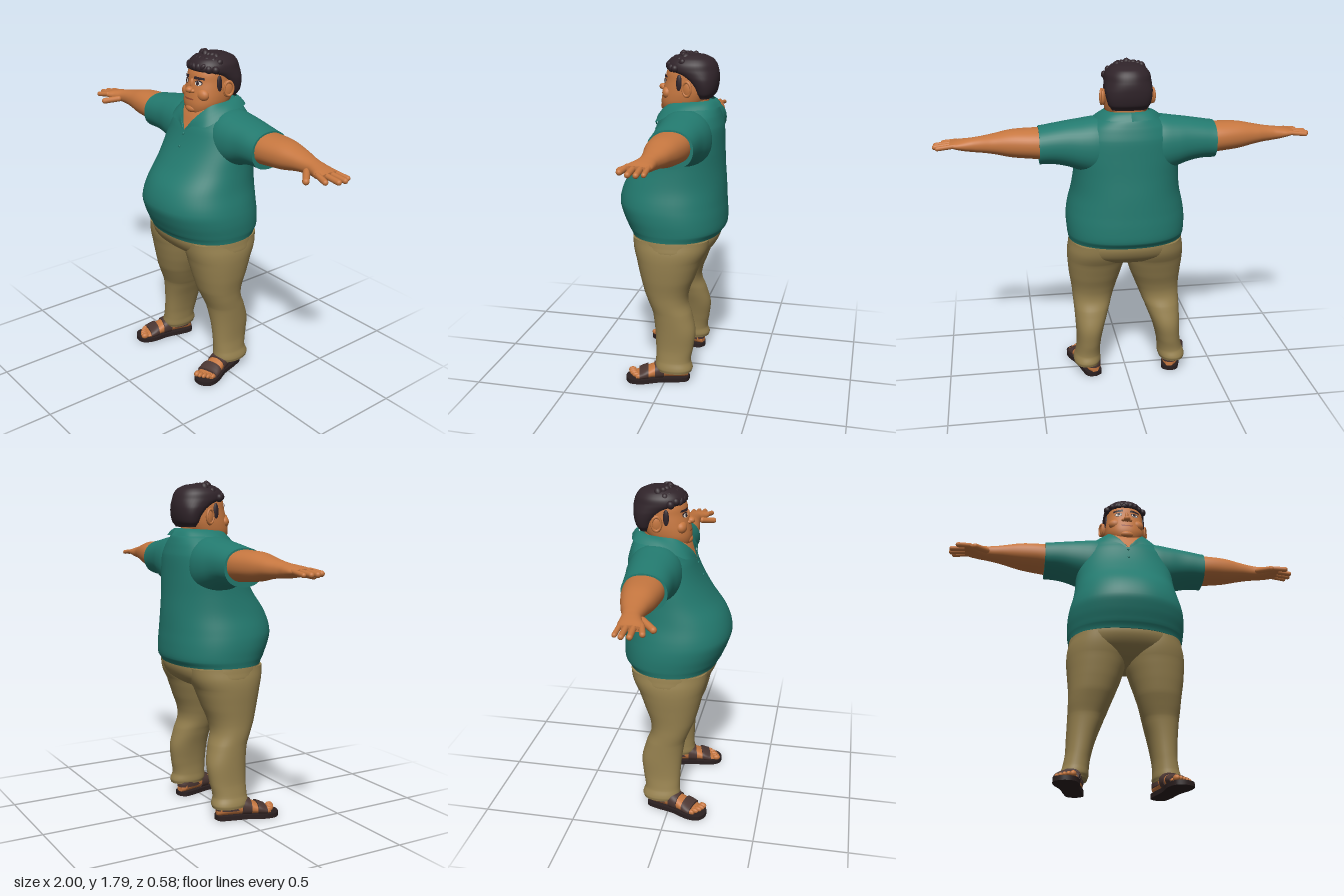
import * as THREE from 'three';

const mat = (name, color) => {
  const m = new THREE.MeshStandardMaterial({ color });
  m.name = name;
  return m;
};

// Rings are [t, a0, a1, b0, b1]: position along the axis and the extent on the two other axes.
function dense(rings, sub = 5) {
  const out = [], last = rings.length - 1;
  const at = i => rings[Math.max(0, Math.min(last, i))];
  for (let i = 0; i < last; i++) {
    for (let k = 0; k < sub; k++) {
      const u = k / sub;
      out.push(at(i).map((p1, c) => {
        const p0 = at(i - 1)[c], p2 = at(i + 1)[c], p3 = at(i + 2)[c];
        if (c === 0) return p1 + (p2 - p1) * u;
        return 0.5 * (2 * p1 + (p2 - p0) * u + (2 * p0 - 5 * p1 + 4 * p2 - p3) * u * u + (3 * p1 - p0 - 3 * p2 + p3) * u ** 3);
      }));
    }
  }
  out.push(rings[last]);
  return out;
}

// Smooth skin through super-elliptical rings, with flat caps.
function loft(rings, axis = 'y', n = 2.2, seg = 40) {
  const R = dense(rings), pos = [], idx = [];
  const place = (t, a, b) => pos.push(...(axis === 'y' ? [a, t, b] : axis === 'x' ? [t, a, b] : [a, b, t]));
  const pw = v => Math.sign(v) * Math.abs(v) ** (2 / n);
  const ring = r => {
    for (let j = 0; j < seg; j++) {
      const q = j / seg * Math.PI * 2;
      place(r[0], (r[1] + r[2]) / 2 + Math.abs(r[2] - r[1]) / 2 * pw(Math.cos(q)),
        (r[3] + r[4]) / 2 + Math.abs(r[4] - r[3]) / 2 * pw(Math.sin(q)));
    }
  };
  const flip = (axis === 'y') !== (R[R.length - 1][0] > R[0][0]);
  const tri = (a, b, c) => flip ? idx.push(a, c, b) : idx.push(a, b, c);
  R.forEach(ring);
  for (let i = 0; i < R.length - 1; i++) for (let j = 0; j < seg; j++) {
    const a = i * seg + j, b = i * seg + (j + 1) % seg;
    tri(a, a + seg, b);
    tri(b, a + seg, b + seg);
  }
  [R[0], R[R.length - 1]].forEach((r, end) => {
    const s = pos.length / 3;
    ring(r);
    place(r[0], (r[1] + r[2]) / 2, (r[3] + r[4]) / 2);
    for (let j = 0; j < seg; j++) {
      const k = s + (j + 1) % seg;
      end ? tri(s + j, s + seg, k) : tri(s + j, k, s + seg);
    }
  });
  const g = new THREE.BufferGeometry();
  g.setAttribute('position', new THREE.Float32BufferAttribute(pos, 3));
  g.setIndex(idx);
  g.computeVertexNormals();
  return g;
}

// Front z of a vertical loft at (x, y), used to lay thin details on it.
function frontZ(R, x, y, n) {
  let i = 0;
  while (i < R.length - 2 && R[i + 1][0] < y) i++;
  const u = (y - R[i][0]) / (R[i + 1][0] - R[i][0]);
  const r = R[i].map((v, c) => v + (R[i + 1][c] - v) * u);
  return (r[3] + r[4]) / 2 + (r[4] - r[3]) / 2 * Math.max(0, 1 - Math.abs(x / r[2]) ** n) ** (1 / n);
}
function drape(g, rings, n, off) {
  const R = dense(rings), p = g.attributes.position;
  for (let i = 0; i < p.count; i++) p.setZ(i, frontZ(R, p.getX(i), p.getY(i), n) + off);
  g.computeVertexNormals();
  return g;
}
// Four-cornered sheet: bottom left, bottom right, top right, top left.
function quad(A, B, C, D) {
  const g = new THREE.PlaneGeometry(1, 1, 10, 10), p = g.attributes.position;
  for (let i = 0; i < p.count; i++) {
    const u = p.getX(i) + 0.5, v = p.getY(i) + 0.5;
    const m = k => (A[k] * (1 - u) + B[k] * u) * (1 - v) + (D[k] * (1 - u) + C[k] * u) * v;
    p.setXY(i, m(0), m(1));
  }
  return g;
}

const TORSO = [[.825, -.312, .312, -.262, .225], [.86, -.318, .318, -.285, .245], [.93, -.322, .322, -.287, .275],
  [1, -.315, .315, -.283, .292], [1.1, -.292, .292, -.278, .262], [1.2, -.28, .28, -.27, .19], [1.3, -.275, .275, -.265, .13],
  [1.4, -.255, .255, -.26, .09], [1.46, -.215, .215, -.245, .065], [1.5, -.16, .16, -.23, .045], [1.53, -.11, .11, -.205, .02]];
const HEAD = [[1.468, -.05, .05, -.07, .04], [1.483, -.085, .085, -.11, .062], [1.52, -.108, .108, -.16, .07],
  [1.56, -.115, .115, -.185, .066], [1.6, -.115, .115, -.2, .058], [1.64, -.112, .112, -.205, .048],
  [1.68, -.108, .108, -.2, .042], [1.72, -.095, .095, -.18, .02], [1.75, -.06, .06, -.14, -.02]];

export function createModel() {
  const root = new THREE.Group();
  root.name = 'man';
  const shirt = mat('teal shirt', 0x237a6f), trousers = mat('khaki trousers', 0x96814f), skin = mat('skin', 0xc67740);
  const hair = mat('dark hair', 0x30242a), leather = mat('sandal leather', 0x4c3733), sole = mat('sandal sole', 0x2b2020);
  const white = mat('eye white', 0xe6ddd2), lip = mat('lip', 0x96492f);
  const collarCloth = shirt.clone();
  collarCloth.side = THREE.DoubleSide;
  const add = (name, g, m, parent = root) => {
    const o = new THREE.Mesh(g, m);
    o.name = name;
    parent.add(o);
    return o;
  };
  const ball = (name, m, p, r, parent) => {
    const o = add(name, new THREE.SphereGeometry(1, 20, 14), m, parent);
    o.position.set(...p);
    o.scale.set(...r);
    return o;
  };
  const rod = (name, m, a, b, r, parent) => {
    const A = new THREE.Vector3(...a), B = new THREE.Vector3(...b), d = B.clone().sub(A);
    const o = add(name, new THREE.CapsuleGeometry(r, d.length(), 6, 14), m, parent);
    o.position.copy(A).add(B).multiplyScalar(0.5);
    o.quaternion.setFromUnitVectors(new THREE.Vector3(0, 1, 0), d.normalize());
    return o;
  };

  // Shirt body, open neck, placket and buttons
  add('shirtBody', loft(TORSO, 'y', 2.2, 64), shirt);
  add('openNeck', drape(quad([-.004, 1.388], [.004, 1.388], [.09, 1.512], [-.09, 1.512]), TORSO, 2.2, .004), skin);
  add('placket', drape(quad([-.022, 1.285], [.022, 1.285], [.022, 1.39], [-.022, 1.39]), TORSO, 2.2, .005), shirt);
  for (const y of [1.37, 1.305]) ball('button', shirt, [0, y, frontZ(dense(TORSO), 0, y, 2.2) + .006], [.007, .007, .005]);

  // Trouser hips
  add('trouserHips', loft([[.685, -.08, .08, -.1, .06], [.71, -.25, .25, -.17, .13], [.75, -.312, .312, -.225, .185],
    [.8, -.312, .312, -.25, .215], [.85, -.305, .305, -.25, .22]], 'y', 2.3, 56), trousers);

  // Head, neck and face
  add('neck', loft([[1.38, -.1, .1, -.18, .03], [1.46, -.098, .098, -.18, .025], [1.56, -.098, .098, -.18, .02]]), skin);
  add('head', loft(HEAD, 'y', 2.3, 48), skin);
  ball('nose', skin, [0, 1.598, .064], [.021, .017, .022]);
  ball('noseBridge', skin, [0, 1.625, .046], [.012, .03, .014]);
  ball('chin', skin, [0, 1.498, .052], [.04, .022, .024]);
  add('mouth', drape(quad([-.03, 1.547], [.03, 1.547], [.036, 1.555], [-.036, 1.555]), HEAD, 2.3, .003), lip);

  // Hair cap with tousled locks on top
  add('hairCap', loft([[1.55, -.09, .09, -.2, -.13], [1.575, -.107, .107, -.22, -.11], [1.61, -.117, .117, -.23, -.09],
    [1.645, -.122, .122, -.234, -.055], [1.67, -.122, .122, -.234, -.01], [1.695, -.121, .121, -.23, .04],
    [1.725, -.115, .115, -.22, .04], [1.75, -.095, .095, -.2, .02], [1.768, -.065, .065, -.16, -.02],
    [1.776, -.02, .02, -.11, -.07]], 'y', 2.2, 48), hair);
  let seed = 7;
  const rnd = () => (seed = (seed * 16807) % 2147483647) / 2147483647;
  for (let i = 0; i < 26; i++) {
    const row = i % 3, u = (Math.floor(i / 3) / 8 - .5) * 2;
    const lock = ball('hairLock', hair, [u * (.105 - row * .015), 1.712 + row * .024 - u * u * .012 + rnd() * .008,
      .028 - row * .035 - u * u * .05], [.014 + rnd() * .007, .02 + rnd() * .008, .02]);
    lock.rotation.set(rnd() - .5, 0, (rnd() - .5) * 1.8);
  }

  for (const s of [1, -1]) {
    const side = s > 0 ? 'left' : 'right';
    // Eyes, brows, cheeks, nostrils and ears
    const disc = (name, m, x, y, rx, ry, off) =>
      add(name, drape(new THREE.CircleGeometry(1, 24).scale(rx, ry, 1).translate(x, y, 0), HEAD, 2.3, off), m);
    disc(side + 'EyeLine', hair, s * .047, 1.637, .021, .014, .003);
    disc(side + 'EyeWhite', white, s * .047, 1.635, .018, .0105, .005);
    disc(side + 'Iris', hair, s * .046, 1.636, .0085, .0095, .007);
    const brow = [[.02, 1.655], [.078, 1.655], [.074, 1.666], [.022, 1.671]].map(p => [s * p[0], p[1]]);
    add(side + 'Brow', drape(s > 0 ? quad(...brow) : quad(brow[1], brow[0], brow[3], brow[2]), HEAD, 2.3, .006), hair);
    ball(side + 'Cheek', skin, [s * .06, 1.575, .025], [.042, .034, .03]);
    ball(side + 'Nostril', skin, [s * .02, 1.593, .056], [.012, .011, .014]);
    ball(side + 'Ear', skin, [s * .122, 1.602, -.088], [.014, .043, .028]).rotation.y = -s * .35;
    const rim = add(side + 'EarRim', new THREE.TorusGeometry(.03, .007, 8, 24), skin);
    rim.position.set(s * .132, 1.605, -.09);
    rim.rotation.y = Math.PI / 2 - s * .35;
    rim.scale.set(.8, 1.2, 1);
    ball(side + 'Sideburn', hair, [s * .108, 1.63, -.045], [.011, .045, .016]);

    // Folded collar
    const curve = pts => new THREE.CatmullRomCurve3(pts.map(p => new THREE.Vector3(s * p[0], p[1], p[2])));
    const top = curve([[.004, 1.392, .102], [.05, 1.452, .082], [.1, 1.52, .012], [.116, 1.535, -.08], [.088, 1.542, -.18], [0, 1.545, -.217]]);
    const low = curve([[.012, 1.388, .104], [.055, 1.418, .092], [.145, 1.432, .068], [.18, 1.492, -.05], [.13, 1.505, -.205], [0, 1.505, -.25]]);
    const flap = new THREE.PlaneGeometry(1, 1, 40, 4), fp = flap.attributes.position;
    for (let i = 0; i < fp.count; i++) {
      const u = fp.getX(i) + .5, v = fp.getY(i) + .5;
      const p = low.getPoint(u).lerp(top.getPoint(u), v);
      fp.setXYZ(i, p.x, p.y + Math.sin(v * Math.PI) * .006, p.z);
    }
    flap.computeVertexNormals();
    add(side + 'Collar', flap, collarCloth);

    // Sleeve, arm and hand
    const along = rows => rows.map(r => [s * r[0], ...r.slice(1)]);
    add(side + 'Sleeve', loft(along([[.06, 1.2, 1.5, -.22, .04], [.17, 1.2, 1.503, -.232, .055], [.25, 1.225, 1.492, -.225, .05],
      [.32, 1.25, 1.482, -.212, .04], [.39, 1.263, 1.47, -.203, .037], [.46, 1.264, 1.459, -.197, .035]]), 'x'), shirt);
    add(side + 'Arm', loft(along([[.4, 1.285, 1.45, -.185, .02], [.5, 1.295, 1.45, -.18, .02], [.6, 1.305, 1.445, -.162, .01],
      [.7, 1.325, 1.425, -.135, -.008], [.78, 1.333, 1.41, -.11, -.015], [.83, 1.338, 1.402, -.106, 0],
      [.87, 1.346, 1.395, -.105, .02], [.91, 1.356, 1.386, -.098, .024]]), 'x'), skin);
    [[.88, -.088, .972, -.092, .012], [.88, -.057, .986, -.06, .014], [.88, -.024, .982, -.022, .0145], [.88, .008, .945, .026, .0145]]
      .forEach(([x0, z0, x1, z1, r]) => rod(side + 'Finger', skin, [s * x0, 1.374, z0], [s * x1, 1.364, z1], r));
    rod(side + 'Thumb', skin, [s * .79, 1.362, -.01], [s * .85, 1.346, .052], .017);

    // Trouser leg, with the right one standing a little wider
    const leg = [[.07, .153, .297, -.145, .05], [.09, .148, .3, -.15, .058], [.13, .15, .288, -.138, .055], [.2, .145, .28, -.15, .056],
      [.3, .125, .284, -.16, .062], [.4, .095, .29, -.135, .076], [.46, .075, .295, -.113, .1], [.52, .055, .3, -.118, .125],
      [.6, .03, .312, -.148, .147], [.7, .003, .32, -.185, .17], [.76, 0, .318, -.215, .185], [.82, .02, .305, -.225, .19]];
    const shift = y => s > 0 ? 0 : .045 * Math.max(0, 1 - y / .6);
    add(side + 'TrouserLeg', loft(leg.map(r => [r[0], s * (r[1] + shift(r[0])), s * (r[2] + shift(r[0])), r[3], r[4]])), trousers);

    // Foot and sandal, turned outward
    const foot = new THREE.Group();
    foot.name = side + 'Foot';
    foot.position.set(s > 0 ? .228 : -.287, 0, .043);
    foot.rotation.y = s * .27;
    root.add(foot);
    const outline = new THREE.Shape();
    outline.moveTo(0, -.176);
    outline.splineThru([[.042, -.155], [.05, -.09], [.05, 0], [.066, .09], [.052, .155], [0, .178], [-.052, .155], [-.066, .09],
      [-.05, 0], [-.05, -.09], [-.042, -.155], [0, -.176]].map(p => new THREE.Vector2(...p)));
    const slab = new THREE.ExtrudeGeometry(outline, { depth: .024, bevelEnabled: false, curveSegments: 40 });
    add('sandalSole', slab.rotateX(Math.PI / 2).translate(0, .024, 0), sole, foot);
    add('footSkin', loft([[-.165, -.02, .02, .02, .06], [-.145, -.04, .04, .02, .09], [-.06, -.045, .045, .02, .115],
      [.02, -.05, .05, .02, .092], [.09, -.058, .058, .02, .06], [.125, -.052, .052, .02, .045]], 'z'), skin, foot);
    rod('ankle', skin, [0, .07, -.09], [0, .14, -.09], .048, foot);
    for (let i = 0; i < 5; i++)
      ball('toe', skin, [s * (-.042 + i * .0215), .038, .142 - i * i * .0022], [i ? .0115 : .016, i ? .014 : .017, .022], foot);
    add('toeStrap', loft([[.055, -.061, .061, .015, .085], [.075, -.064, .064, .015, .077], [.105, -.064, .064, .015, .063]], 'z'), leather, foot);
    add('instepStrap', loft([[-.03, -.053, .053, .015, .116], [-.005, -.055, .055, .015, .11], [.02, -.056, .056, .015, .1]], 'z'), leather, foot);
    add('heelStrap', loft([[.05, -.05, .05, -.17, -.01], [.065, -.05, .05, -.17, -.02], [.08, -.049, .049, -.166, -.03]]), leather, foot);
  }
  return root;
}
